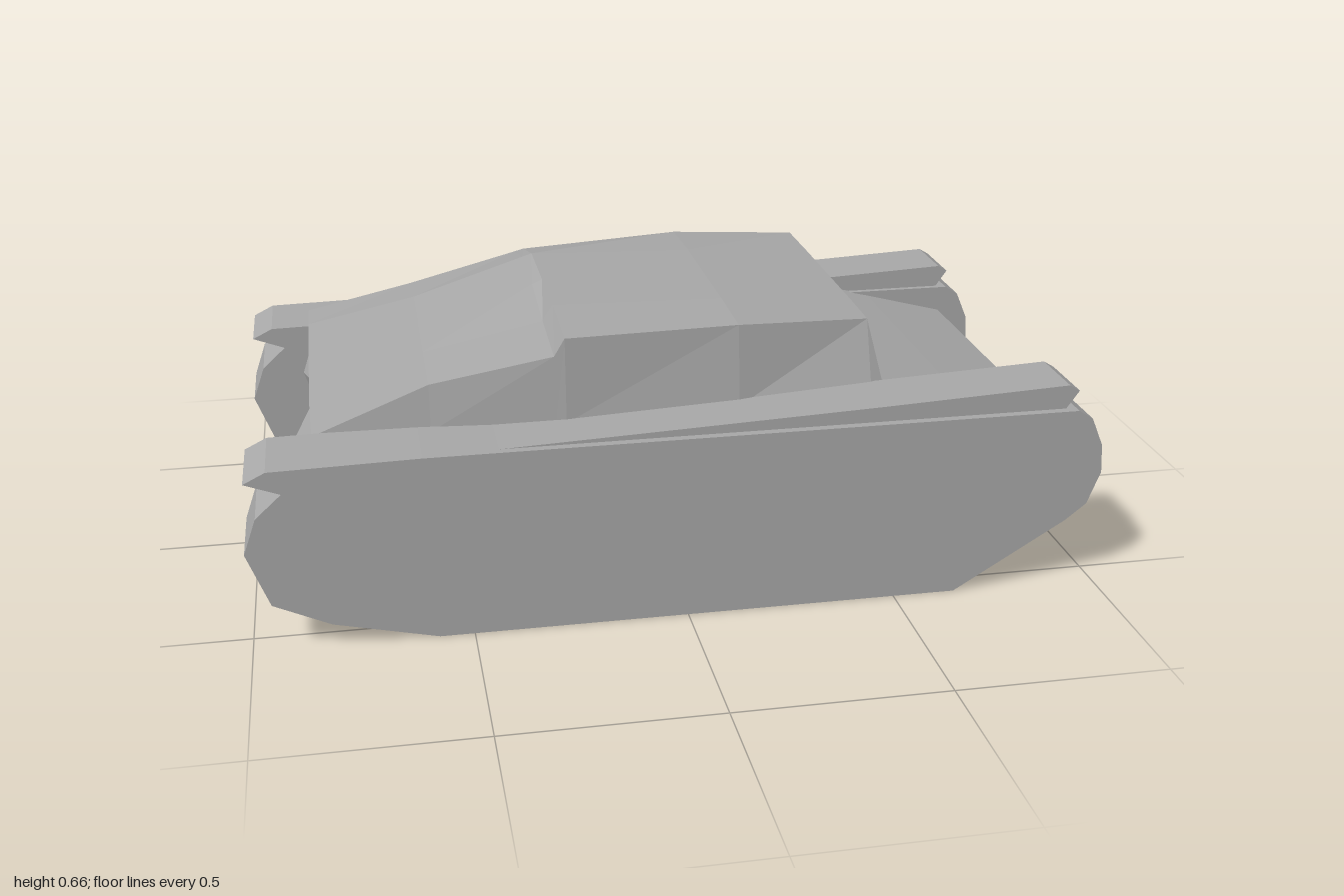
import * as THREE from 'three';

const grey = new THREE.MeshStandardMaterial({ color: 0xa8a8a8, flatShading: true });
grey.name = 'plain grey';

function add(group, name, geometry) {
  const mesh = new THREE.Mesh(geometry, grey);
  mesh.name = name;
  group.add(mesh);
  return mesh;
}

// Side profile pushed out along z
function slab(points, z0, z1) {
  const shape = new THREE.Shape(points.map(([x, y]) => new THREE.Vector2(x, y)));
  const geometry = new THREE.ExtrudeGeometry(shape, { depth: z1 - z0, bevelEnabled: false });
  return geometry.translate(0, 0, z0);
}

// Closed skin through rings that run from +z over the top to -z, listed rear to front
function loft(rings) {
  const out = [];
  const tri = (...corners) => corners.forEach((p) => out.push(...p));
  const n = rings[0].length;
  for (let i = 0; i < rings.length - 1; i++) {
    for (let j = 0; j < n; j++) {
      const k = (j + 1) % n;
      const [a, b, c, d] = [rings[i][j], rings[i + 1][j], rings[i + 1][k], rings[i][k]];
      tri(a, b, c);
      tri(a, c, d);
    }
  }
  const first = rings[0], last = rings[rings.length - 1];
  for (let k = 1; k < n - 1; k++) {
    tri(first[0], first[k], first[k + 1]);
    tri(last[0], last[k + 1], last[k]);
  }
  const geometry = new THREE.BufferGeometry();
  geometry.setAttribute('position', new THREE.Float32BufferAttribute(out, 3));
  geometry.computeVertexNormals();
  return geometry;
}

export function createModel() {
  const model = new THREE.Group();
  model.name = 'tracked vehicle';

  // Tracks, with a notch at the rear top
  const track = [
    [-0.58, 0.005], [0.65, 0.005], [0.92, 0.17], [0.97, 0.21], [1, 0.29], [0.995, 0.36],
    [0.965, 0.43], [0.93, 0.452], [-0.6, 0.452], [-0.94, 0.445], [-0.99, 0.42],
    [-0.91, 0.39], [-0.97, 0.335], [-1, 0.25], [-0.95, 0.12], [-0.82, 0.06],
  ];
  add(model, 'leftTrack', slab(track, 0.37, 0.565));
  add(model, 'rightTrack', slab(track, -0.565, -0.37));

  // Wedge fenders rising to an undercut front tip
  const fender = [[-0.6, 0.445], [0.9, 0.445], [0.935, 0.495], [0.91, 0.51], [0.45, 0.488]];
  add(model, 'leftFender', slab(fender, 0.385, 0.545));
  add(model, 'rightFender', slab(fender, -0.55, -0.385));

  // Hull: bottom point then top point of each half ring [x, y, half width]
  const hullRings = [
    [[-0.83, 0.2, 0.37], [-0.835, 0.48, 0.35]],
    [[-0.75, 0.155, 0.37], [-0.74, 0.48, 0.37]],
    [[0.48, 0.155, 0.372], [0.49, 0.49, 0.385]],
    [[0.72, 0.155, 0.372], [0.7, 0.44, 0.385]],
    [[0.89, 0.245, 0.28], [0.91, 0.385, 0.372]],
  ].map(([b, t]) => [b, t, [t[0], t[1], -t[2]], [b[0], b[1], -b[2]]]);
  add(model, 'hull', loft(hullRings));

  // Pointed bumps on the rear plate
  const bumps = [[0.2, 0.33, 0.07, 0.13], [-0.28, 0.35, 0.03, 0.09]];
  for (const [z, y, length, radius] of bumps) {
    const bump = add(model, 'rearBump', new THREE.ConeGeometry(radius, length, 4));
    bump.rotation.z = Math.PI / 2;
    bump.position.set(-0.833 - length / 2, y, z);
  }

  // Superstructure: x, then [y, z] points; the roof steps up near x = -0.27
  const sections = [
    [-0.84, [0.44, 0.37], [0.505, 0.34], [0.51, 0.17], [0.512, 0], [0.512, -0.2], [0.505, -0.33], [0.44, -0.37]],
    [-0.57, [0.44, 0.39], [0.55, 0.375], [0.562, 0.19], [0.57, 0], [0.57, -0.2], [0.55, -0.375], [0.44, -0.395]],
    [-0.285, [0.45, 0.415], [0.61, 0.405], [0.625, 0.2], [0.652, 0], [0.655, -0.22], [0.61, -0.415], [0.45, -0.425]],
    [-0.26, [0.45, 0.418], [0.652, 0.405], [0.664, 0.2], [0.663, 0], [0.663, -0.22], [0.615, -0.42], [0.45, -0.43]],
    [0.15, [0.46, 0.412], [0.652, 0.385], [0.656, 0.2], [0.656, 0], [0.656, -0.2], [0.648, -0.395], [0.46, -0.46]],
    [0.475, [0.485, 0.39], [0.63, 0.335], [0.632, 0.19], [0.632, 0], [0.632, -0.2], [0.63, -0.39], [0.485, -0.545]],
    [0.505, [0.47, 0.39], [0.487, 0.38], [0.487, 0.19], [0.487, 0], [0.487, -0.2], [0.49, -0.41], [0.47, -0.545]],
  ];
  add(model, 'superstructure', loft(sections.map(([x, ...ring]) => ring.map(([y, z]) => [x, y, z]))));

  return model;
}
